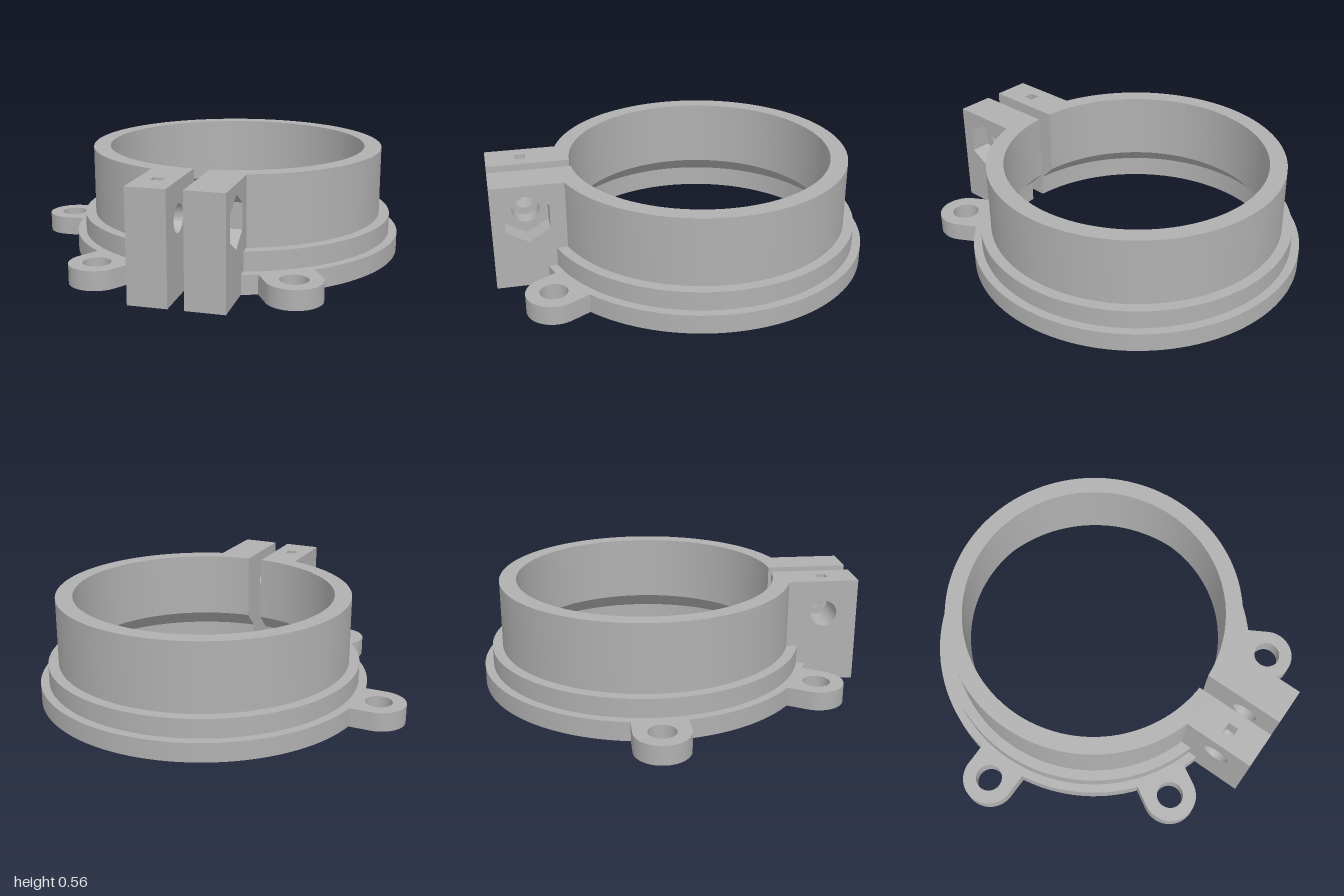
import * as THREE from 'three';
import { mergeGeometries, toCreasedNormals } from 'three/addons/utils/BufferGeometryUtils.js';

const GAP = 0.04;      // half width of the clamp slit
const EAR = 0.235;     // outer face of each clamp ear
const TOP = 0.56;
const BOLT = { d: 0.938, y: 0.38, r: 0.07 };

// Closed ring section as (radius, height), counter-clockwise
const PROFILE = [
  [0.78, 0], [0.88, 0], [0.88, 0.1], [0.835, 0.1], [0.835, 0.2],
  [0.78, 0.2], [0.78, TOP], [0.69, TOP], [0.69, 0.205], [0.78, 0.115],
];

// Stepped ring, swept around and stopped at the parallel faces of the slit
function ringGeometry() {
  const strips = PROFILE.map((p, i) => {
    const q = PROFILE[(i + 1) % PROFILE.length];
    const g = new THREE.LatheGeometry(
      [new THREE.Vector2(...p), new THREE.Vector2(...q)], 120, 0, Math.PI * 2);
    const pos = g.attributes.position;
    const uv = g.attributes.uv;
    for (let k = 0; k < pos.count; k++) {
      const r = Math.hypot(pos.getX(k), pos.getZ(k));
      const a0 = Math.asin(GAP / r);
      const a = a0 + uv.getX(k) * (Math.PI * 2 - 2 * a0);
      pos.setXYZ(k, r * Math.sin(a), pos.getY(k), r * Math.cos(a));
    }
    g.computeVertexNormals();
    return g;
  });
  return mergeGeometries(strips);
}

// Flat section face closing the ring on one side of the slit
function slitFace(side) {
  const pts = PROFILE.map(([r, y]) =>
    new THREE.Vector2(side * Math.sqrt(r * r - GAP * GAP), y));
  return new THREE.ShapeGeometry(new THREE.Shape(pts))
    .rotateY(-side * Math.PI / 2).translate(side * GAP, 0, 0);
}

// Ear outline in (distance from ring centre, height); an optional slot runs from top to bolt hole
function earShape(slotHalf = 0) {
  const s = new THREE.Shape();
  s.moveTo(0.79, 0);
  s.lineTo(1.116, 0);
  s.lineTo(1.116, TOP);
  if (slotHalf) {
    const a = Math.acos(slotHalf / BOLT.r);
    s.lineTo(BOLT.d + slotHalf, TOP);
    s.lineTo(BOLT.d + slotHalf, BOLT.y + BOLT.r * Math.sin(a));
    s.absarc(BOLT.d, BOLT.y, BOLT.r, a, Math.PI - a, true);
    s.lineTo(BOLT.d - slotHalf, TOP);
  }
  s.lineTo(0.72, TOP);
  s.lineTo(0.72, 0.18);
  s.lineTo(0.79, 0.18);
  s.closePath();
  return s;
}

function roundHole(x, y, r) {
  const h = new THREE.Path();
  h.absarc(x, y, r, 0, Math.PI * 2, true);
  return h;
}

function hexHole(x, y, r) {
  const pts = [];
  for (let i = 0; i < 6; i++) {
    const a = Math.PI / 2 - i * Math.PI / 3;
    pts.push(new THREE.Vector2(x + r * Math.cos(a), y + r * Math.sin(a)));
  }
  return new THREE.Path(pts);
}

function extrude(shape, depth) {
  const g = new THREE.ExtrudeGeometry(shape, { depth, bevelEnabled: false, curveSegments: 32 });
  return toCreasedNormals(g, 0.5);
}

// One slice of an ear between two positions across the slit
function earLayer(from, to, hole, slotHalf) {
  const s = earShape(slotHalf);
  if (hole) s.holes.push(hole);
  return extrude(s, to - from).rotateY(-Math.PI / 2).translate(to, 0, 0);
}

// Mounting tab with a rounded end and a screw hole
function tabGeometry() {
  const w = 0.14, c = 0.98;
  const s = new THREE.Shape();
  s.moveTo(-w, -0.84);
  s.lineTo(-w, -c);
  s.absarc(0, -c, w, Math.PI, Math.PI * 2, false);
  s.lineTo(w, -0.84);
  s.closePath();
  s.holes.push(roundHole(0, -c, 0.07));
  return extrude(s, 0.1).rotateX(-Math.PI / 2);
}

export function createModel() {
  const model = new THREE.Group();
  model.name = 'splitClampRing';
  const grey = new THREE.MeshStandardMaterial({ color: 0xb0b0b0 });
  grey.name = 'grey';

  const add = (parent, geometry, name) => {
    const m = new THREE.Mesh(geometry, grey);
    m.name = name;
    parent.add(m);
    return m;
  };

  const body = new THREE.Group();
  body.name = 'body';
  body.position.z = -0.12;
  model.add(body);

  // Ring and clamp share a frame whose +z points through the slit
  const clamp = new THREE.Group();
  clamp.name = 'clamp';
  clamp.rotation.y = Math.PI / 6;
  body.add(clamp);
  add(clamp, ringGeometry(), 'steppedRing');
  add(clamp, slitFace(1), 'slitFaceLeft');
  add(clamp, slitFace(-1), 'slitFaceRight');

  // Ear with the round bolt hole and a small slot from the top
  const bolt = () => roundHole(BOLT.d, BOLT.y, BOLT.r);
  const slot = 0.028, mid = -(GAP + EAR) / 2;
  add(clamp, mergeGeometries([
    earLayer(-EAR, mid - slot, bolt()),
    // the slotted slice is split at the bolt hole's height by its outline
    slottedLayer(mid - slot, mid + slot, slot),
    earLayer(mid + slot, -GAP, bolt()),
  ]), 'boltEar');

  // Ear with the hexagonal nut pocket
  add(clamp, mergeGeometries([
    earLayer(GAP, EAR - 0.11, bolt()),
    earLayer(EAR - 0.11, EAR, hexHole(BOLT.d, BOLT.y, 0.13)),
  ]), 'nutEar');

  // Three tabs around the base
  for (const i of [-1, 0, 1]) {
    add(body, tabGeometry(), 'mountingTab').rotation.y = i * Math.PI / 3;
  }
  return model;
}

// Slice whose slot opens into the bolt hole: the arc runs the long way round below the slot
function slottedLayer(from, to, half) {
  return earLayer(from, to, null, half);
}
